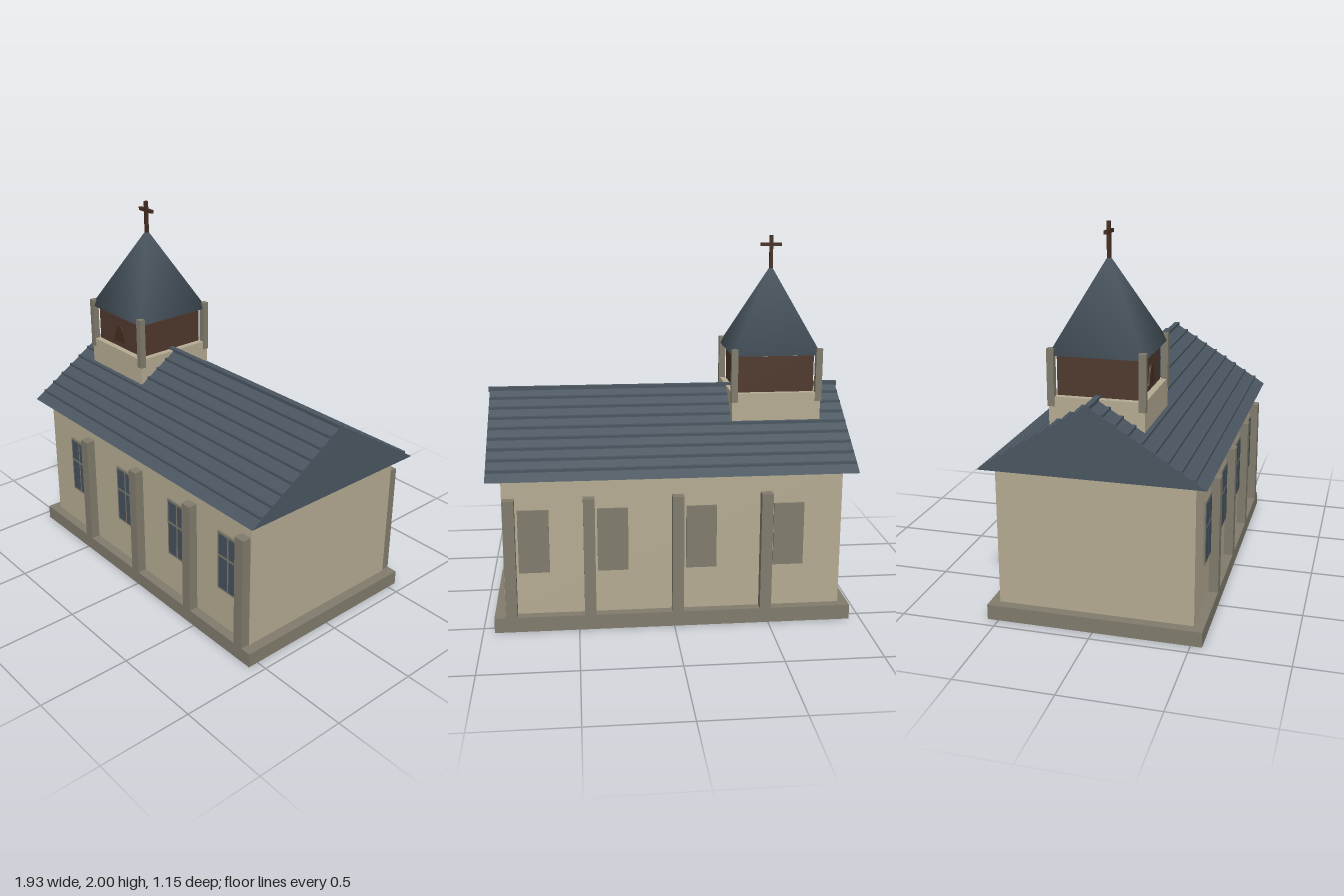
import * as THREE from 'three';
import { mergeVertices } from 'three/addons/utils/BufferGeometryUtils.js';

const mat = (name, color) => {
  const m = new THREE.MeshStandardMaterial({ color });
  m.name = name;
  return m;
};

export function createModel() {
  const model = new THREE.Group();
  model.name = 'chapel';
  const plaster = mat('plaster', 0xb5ab93);
  const stone = mat('stone', 0x807b6c);
  const slate = mat('slate', 0x4a5660);
  const glass = mat('glass', 0x46525c);
  const wood = mat('wood', 0x4f392d);
  const darkWood = mat('dark wood', 0x452c20);

  const add = (name, geometry, material, parent = model) => {
    const mesh = new THREE.Mesh(geometry, material);
    mesh.name = name;
    parent.add(mesh);
    return mesh;
  };
  // Box given by its minimum and maximum on each axis
  const box = (name, material, [x0, x1], [y0, y1], [z0, z1], parent) => {
    const mesh = add(name, new THREE.BoxGeometry(x1 - x0, y1 - y0, z1 - z0), material, parent);
    mesh.position.set((x0 + x1) / 2, (y0 + y1) / 2, (z0 + z1) / 2);
    return mesh;
  };
  const around = (c, h) => [c - h, c + h];

  // Plinth and nave walls
  box('plinth', stone, [-0.94, 0.94], [0, 0.08], [-0.558, 0.558]);
  box('walls', plaster, [-0.888, 0.885], [0.08, 0.83], [-0.507, 0.507]);

  // Buttresses on both long sides
  for (const x of [-0.485, -0.02, 0.44, 0.85]) {
    box('frontButtress', stone, around(x, 0.03), [0.08, 0.715], [0.5, 0.558]);
    box('backButtress', stone, around(x, 0.03), [0.08, 0.715], [-0.558, -0.5]);
  }

  // Windows: four panes on each front frame, plain shutters at the back
  for (const x of [-0.607, -0.145, 0.318, 0.727]) {
    const win = new THREE.Group();
    win.name = 'window';
    model.add(win);
    box('windowFrame', stone, around(x, 0.08), [0.31, 0.65], [0.5, 0.517], win);
    for (const s of [-1, 1]) {
      const px = around(x + s * 0.0375, 0.0305);
      box('lowerPane', glass, px, [0.322, 0.505], [0.516, 0.52], win);
      box('upperPane', glass, px, [0.52, 0.638], [0.516, 0.52], win);
    }
    box('backShutter', stone, around(x, 0.08), [0.31, 0.65], [-0.517, -0.5]);
  }

  // Gabled roof
  const eaveY = 0.82, ridgeY = 1.18, eaveZ = 0.573;
  const gable = new THREE.Shape([
    new THREE.Vector2(-eaveZ, eaveY),
    new THREE.Vector2(eaveZ, eaveY),
    new THREE.Vector2(0, ridgeY),
  ]);
  const roofGeo = new THREE.ExtrudeGeometry(gable, { depth: 1.92, bevelEnabled: false });
  roofGeo.translate(0, 0, -0.96).rotateY(Math.PI / 2);
  add('roof', roofGeo, slate);
  box('ridgeCap', slate, [-0.967, 0.967], [1.165, 1.19], [-0.014, 0.014]);

  // Slate courses
  for (let i = 1; i <= 8; i++) {
    const z = eaveZ * i / 9;
    const y = ridgeY - (ridgeY - eaveY) * i / 9;
    for (const s of [-1, 1])
      box('slateCourse', slate, [-0.958, 0.958], around(y, 0.008), around(s * z, 0.009));
  }

  // Bell tower
  const tower = new THREE.Group();
  tower.name = 'bellTower';
  tower.position.x = -0.58;
  model.add(tower);
  box('towerBase', plaster, [-0.24, 0.24], [0.95, 1.178], [-0.24, 0.24], tower);
  box('belfry', wood, [-0.206, 0.206], [1.17, 1.376], [-0.206, 0.206], tower);
  box('belfryTrim', plaster, [-0.21, 0.21], [1.374, 1.384], [-0.21, 0.21], tower);
  for (const sx of [-1, 1]) for (const sz of [-1, 1])
    box('cornerPost', stone, around(sx * 0.228, 0.0175), [1.13, 1.415], around(sz * 0.228, 0.0175), tower);

  // Bell relief on the front of the belfry
  const bell = new THREE.Shape();
  bell.moveTo(-0.057, 1.21);
  bell.lineTo(0.057, 1.21);
  bell.bezierCurveTo(0.04, 1.235, 0.035, 1.305, 0, 1.307);
  bell.bezierCurveTo(-0.035, 1.305, -0.04, 1.235, -0.057, 1.21);
  const bellGeo = new THREE.ExtrudeGeometry(bell, { depth: 0.012, bevelEnabled: false, curveSegments: 8 });
  add('bell', bellGeo, darkWood, tower).position.z = 0.204;

  // Spire, smoothed across its edges
  const cone = new THREE.ConeGeometry(0.24 * Math.SQRT2, 0.46, 4);
  cone.rotateY(Math.PI / 4);
  cone.deleteAttribute('uv');
  cone.deleteAttribute('normal');
  const spireGeo = mergeVertices(cone, 1e-4);
  spireGeo.computeVertexNormals();
  add('spire', spireGeo, slate, tower).position.y = 1.61;

  // Cross
  box('crossUpright', darkWood, [-0.009, 0.009], [1.81, 2], [-0.009, 0.009], tower);
  box('crossArm', darkWood, [-0.057, 0.057], [1.941, 1.959], [-0.009, 0.009], tower);

  return model;
}
